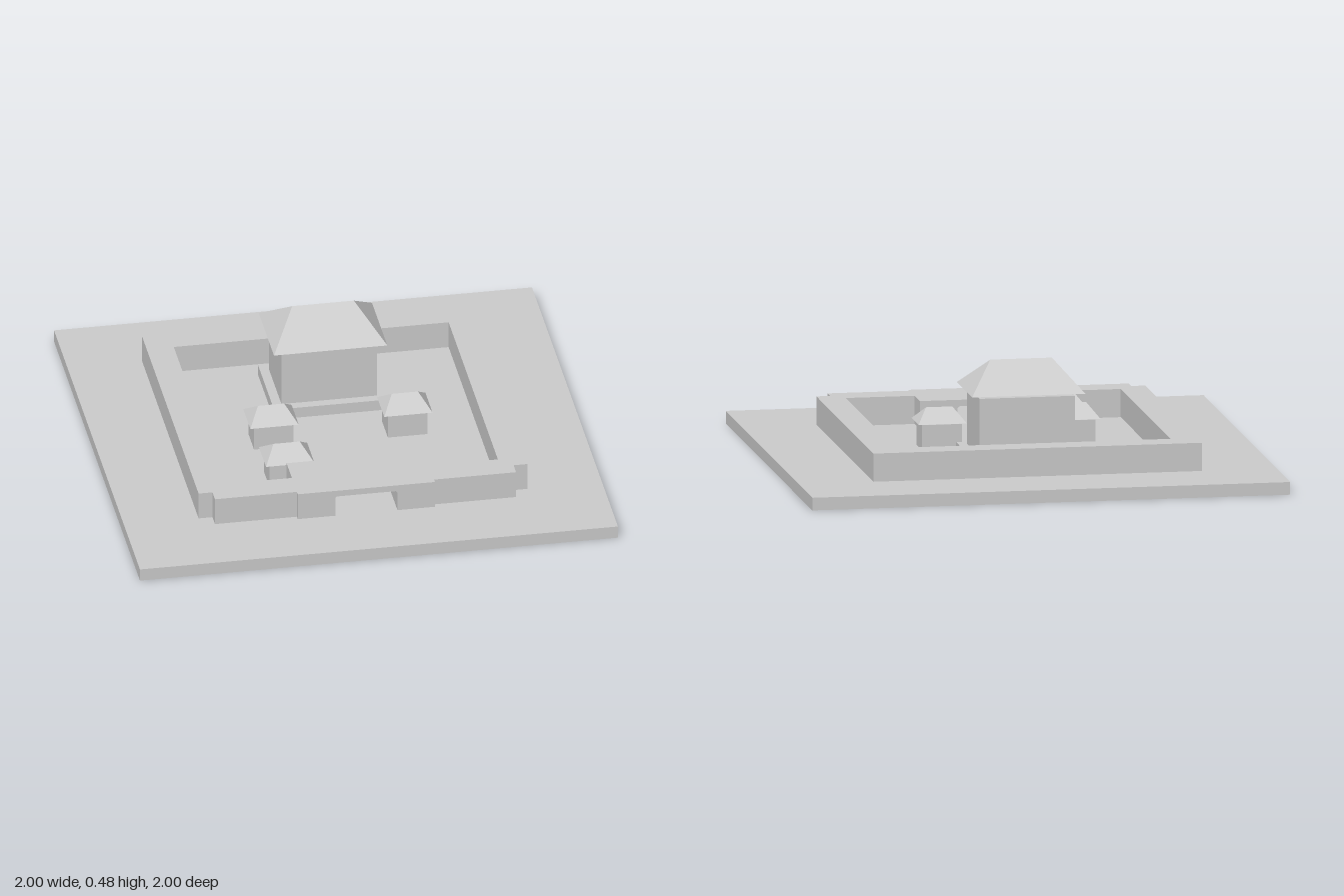
import * as THREE from 'three';

const stone = new THREE.MeshStandardMaterial({ color: 0xcccccc });
stone.name = 'pale stone grey';

const GROUND = 0.053, WALL_TOP = 0.171;

function add(parent, name, geometry, x = 0, y = 0, z = 0) {
  const mesh = new THREE.Mesh(geometry, stone);
  mesh.name = name;
  mesh.position.set(x, y, z);
  parent.add(mesh);
  return mesh;
}

// Box given by half width, half depth and its bottom and top heights
function block(parent, name, hx, hz, y0, y1) {
  return add(parent, name, new THREE.BoxGeometry(hx * 2, y1 - y0, hz * 2), 0, (y0 + y1) / 2, 0);
}

// Hipped roof: rectangular eaves rising to a ridge along x
function hipRoof(hx, hz, ridge, y0, y1) {
  const a = [-hx, y0, hz], b = [hx, y0, hz], c = [hx, y0, -hz], d = [-hx, y0, -hz];
  const l = [-ridge, y1, 0], r = [ridge, y1, 0];
  const faces = [a, b, r, a, r, l, c, d, l, c, l, r, b, c, r, d, a, l, a, d, c, a, c, b];
  const g = new THREE.BufferGeometry();
  g.setAttribute('position', new THREE.Float32BufferAttribute(faces.flat(), 3));
  g.computeVertexNormals();
  return g;
}

const polygon = (pts) => new THREE.Shape(pts.map(([x, y]) => new THREE.Vector2(x, y)));

export function createModel() {
  const model = new THREE.Group();
  model.name = 'walledCourt';

  block(model, 'groundSlab', 1, 1, 0, GROUND);

  // Enclosing wall: plan outline (x, z) of the right half, mirrored, open at the gate
  const half = [[0.287, 0.57], [0.575, 0.57], [0.575, -0.577], [-0.575, -0.577], [-0.575, 0.57], [-0.287, 0.57]];
  const outer = [[-0.287, 0.687], [-0.63, 0.687], [-0.63, 0.629], [-0.688, 0.629], [-0.688, -0.688],
    [0.688, -0.688], [0.688, 0.629], [0.63, 0.629], [0.63, 0.687], [0.287, 0.687]];
  const plan = polygon([...half, ...outer].map(([x, z]) => [x, -z]));
  const wall = new THREE.ExtrudeGeometry(plan, { depth: WALL_TOP - GROUND, bevelEnabled: false });
  wall.rotateX(-Math.PI / 2);
  add(model, 'enclosingWall', wall, 0, GROUND, 0);

  // Gatehouse: front elevation with a passage whose top corners are clipped
  const gate = polygon([[-0.287, GROUND], [-0.13, GROUND], [-0.13, 0.137], [-0.123, 0.144],
    [0.123, 0.144], [0.13, 0.137], [0.13, GROUND], [0.287, GROUND], [0.287, WALL_TOP], [-0.287, WALL_TOP]]);
  add(model, 'gatehouse', new THREE.ExtrudeGeometry(gate, { depth: 0.26, bevelEnabled: false }), 0, 0, 0.447);

  // Main hall on its podium
  const hall = new THREE.Group();
  hall.name = 'mainHall';
  hall.position.set(0, 0, -0.302);
  block(hall, 'hallPodium', 0.238, 0.186, GROUND, 0.1);
  block(hall, 'hallBody', 0.2, 0.145, 0.1, 0.34);
  add(hall, 'hallRoof', hipRoof(0.237, 0.178, 0.129, 0.353, 0.476));
  model.add(hall);

  // Small pavilions in the courtyard
  for (const [x, z] of [[-0.28, 0.045], [0.28, 0.045], [-0.272, 0.364]]) {
    const pavilion = new THREE.Group();
    pavilion.name = 'pavilion';
    pavilion.position.set(x, 0, z);
    block(pavilion, 'pavilionBody', 0.083, 0.067, GROUND, 0.158);
    add(pavilion, 'pavilionRoof', hipRoof(0.101, 0.083, 0.055, 0.162, 0.22));
    model.add(pavilion);
  }

  return model;
}
